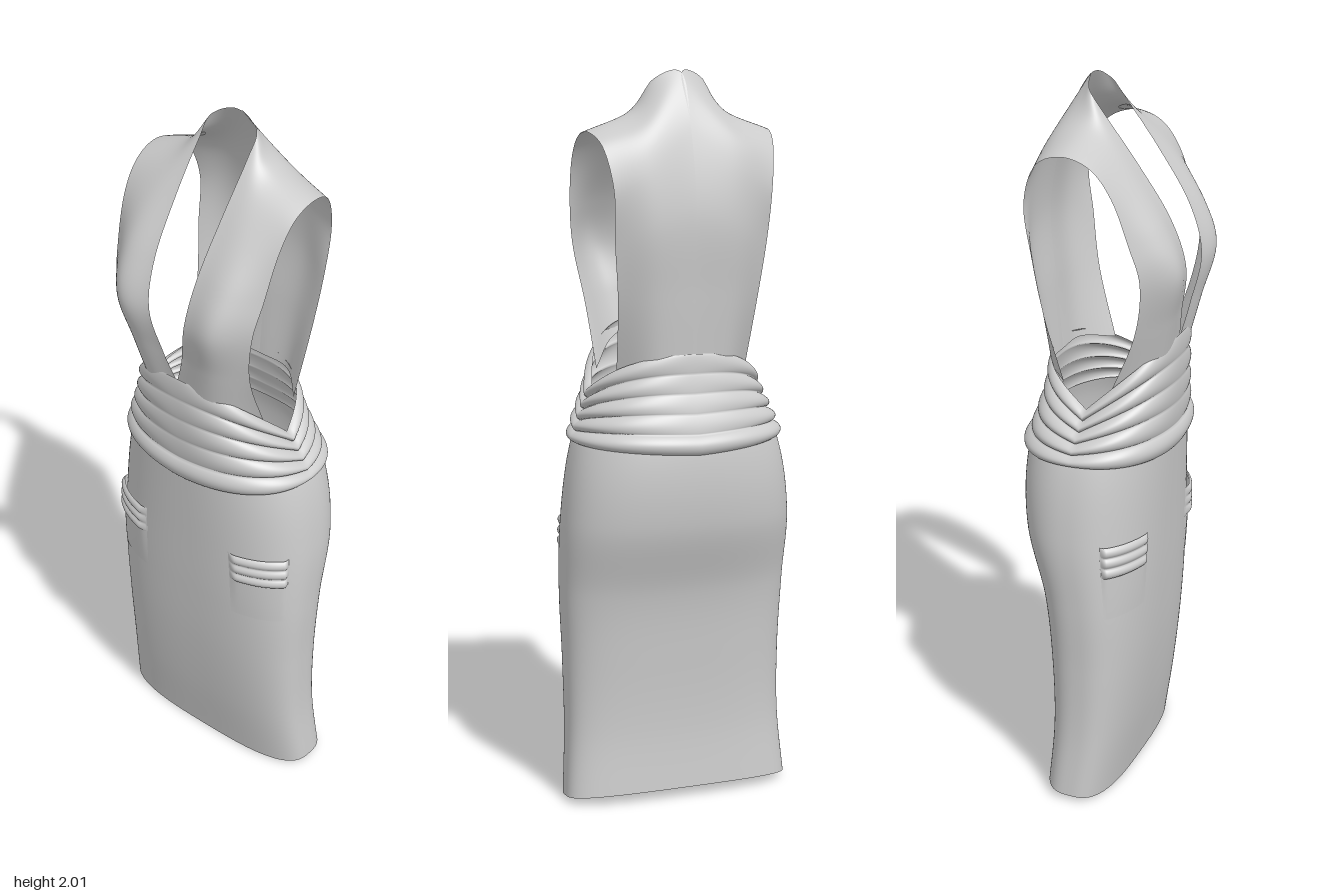
import * as THREE from 'three';

const material = new THREE.MeshStandardMaterial({ color: 0xcccccc, roughness: 0.8, side: THREE.DoubleSide });

// Smooth surface from a rule fn(u, v) -> Vector3; "closed" joins u = 1 to u = 0
function surface(name, nu, nv, fn, closed = false) {
  const positions = [], indices = [];
  const cols = closed ? nu : nu + 1;
  for (let j = 0; j <= nv; j++)
    for (let i = 0; i < cols; i++) positions.push(...fn(i / nu, j / nv).toArray());
  for (let j = 0; j < nv; j++)
    for (let i = 0; i < nu; i++) {
      const a = j * cols + i, b = j * cols + (i + 1) % cols;
      indices.push(a, a + cols, b, b, a + cols, b + cols);
    }
  const geometry = new THREE.BufferGeometry();
  geometry.setAttribute('position', new THREE.Float32BufferAttribute(positions, 3));
  geometry.setIndex(indices);
  geometry.computeVertexNormals();
  const mesh = new THREE.Mesh(geometry, material);
  mesh.name = name;
  return mesh;
}

const smooth = points => new THREE.CatmullRomCurve3(points, false, 'catmullrom', 0.5);

// Body profile every 0.2 in height: half width, front z, back z
const profile = smooth([
  [0.327, 0.08, -0.125], [0.313, 0.115, -0.115], [0.314, 0.14, -0.125], [0.322, 0.155, -0.15],
  [0.322, 0.165, -0.21], [0.292, 0.175, -0.215], [0.215, 0.185, -0.165], [0.19, 0.19, -0.16],
].map(p => new THREE.Vector3(...p)));

// Point on the body: rounded-box section at height y, pushed out by "out"
function onBody(angle, y, out = 0) {
  const p = profile.getPoint(y / 1.4);
  const n = 2 / THREE.MathUtils.lerp(3, 2.3, Math.min(1, y));
  const c = Math.cos(angle), s = Math.sin(angle);
  const depth = (p.y - p.z) / 2;
  return new THREE.Vector3(
    (p.x + out) * Math.sign(c) * Math.abs(c) ** n, y,
    (p.y + p.z) / 2 + (depth + out) * Math.sign(s) * Math.abs(s) ** n);
}

// Skirt, with the hem a little higher at the back
function skirt() {
  return surface('skirt', 120, 64, (u, v) => {
    const a = u * Math.PI * 2;
    return onBody(a, THREE.MathUtils.lerp(0.015 - 0.015 * Math.sin(a), 1.06, v));
  }, true);
}

// Gathered waistband: folds that crowd together at the dipped sides
function waistband() {
  return surface('gatheredWaist', 160, 80, (u, v) => {
    const a = u * Math.PI * 2, s = Math.sin(a), side = Math.abs(Math.cos(a));
    const rim = 1.16 + (s > 0 ? 0.165 : 0.1) * Math.abs(s) ** 0.8;
    const low = 0.995 + 0.02 * side;
    const strength = v < 0.2 ? 0.016 : 0.003 + 0.015 * side ** 1.5;
    const fold = Math.abs(Math.sin(v * Math.PI * 5)) ** 0.7;
    return onBody(a, THREE.MathUtils.lerp(low, rim, v), 0.002 + strength * fold);
  }, true);
}

// Patch pocket wrapped round the hip, with a gathered band along its top
function pocket(side) {
  const group = new THREE.Group();
  group.name = side > 0 ? 'leftPocket' : 'rightPocket';
  const patch = (name, low, high, out) => surface(name, 28, 28, (u, v) => {
    const p = onBody(THREE.MathUtils.lerp(0.43, 1.17, u), THREE.MathUtils.lerp(low, high, v), out(u, v));
    p.x *= side;
    return p;
  });
  const edge = u => Math.min(1, Math.min(u, 1 - u) * 12);
  group.add(patch('pocketPanel', 0.58, 0.785, (u, v) => 0.001 + 0.007 * v * edge(u)));
  group.add(patch('pocketBand', 0.705, 0.795, (u, v) =>
    edge(u) * (0.007 + 0.009 * Math.abs(Math.sin(v * Math.PI * 3)) ** 0.7)));
  return group;
}

// Half bodice, as three edges from the front waist over the shoulder to the back waist
const neckEdge = [
  [0, 1.31, 0.183], [0.032, 1.4, 0.2], [0.06, 1.53, 0.22], [0.072, 1.66, 0.18],
  [0.078, 1.8, 0.09], [0.08, 1.92, 0], [0.073, 1.98, -0.045], [0, 2, -0.073],
  [0, 1.86, -0.142], [0, 1.64, -0.187], [0, 1.42, -0.173], [0, 1.23, -0.156],
];
const middleLine = [
  [0.11, 1.27, 0.17], [0.13, 1.395, 0.2], [0.155, 1.53, 0.23], [0.165, 1.645, 0.19],
  [0.16, 1.77, 0.108], [0.145, 1.865, 0.025], [0.13, 1.9, -0.047], [0.12, 1.865, -0.13],
  [0.12, 1.765, -0.173], [0.12, 1.6, -0.19], [0.11, 1.415, -0.171], [0.105, 1.23, -0.146],
];
const armholeEdge = [
  [0.198, 1.2, 0.06], [0.205, 1.37, 0.13], [0.23, 1.52, 0.155], [0.247, 1.63, 0.13],
  [0.257, 1.75, 0.088], [0.26, 1.825, 0.03], [0.258, 1.848, -0.05], [0.241, 1.81, -0.13],
  [0.224, 1.7, -0.168], [0.216, 1.56, -0.152], [0.2, 1.4, -0.127], [0.187, 1.21, -0.075],
];
function bodice(side) {
  const rails = [neckEdge, middleLine, armholeEdge].map(rail =>
    smooth(rail.map(([x, y, z]) => new THREE.Vector3(side * x, y, z))));
  return surface(side > 0 ? 'leftBodice' : 'rightBodice', 96, 20,
    (u, v) => smooth(rails.map(r => r.getPoint(u))).getPoint(v));
}

export function createModel() {
  const dress = new THREE.Group();
  dress.name = 'dress';
  dress.add(skirt(), waistband());
  for (const side of [1, -1]) dress.add(bodice(side), pocket(side));
  return dress;
}
